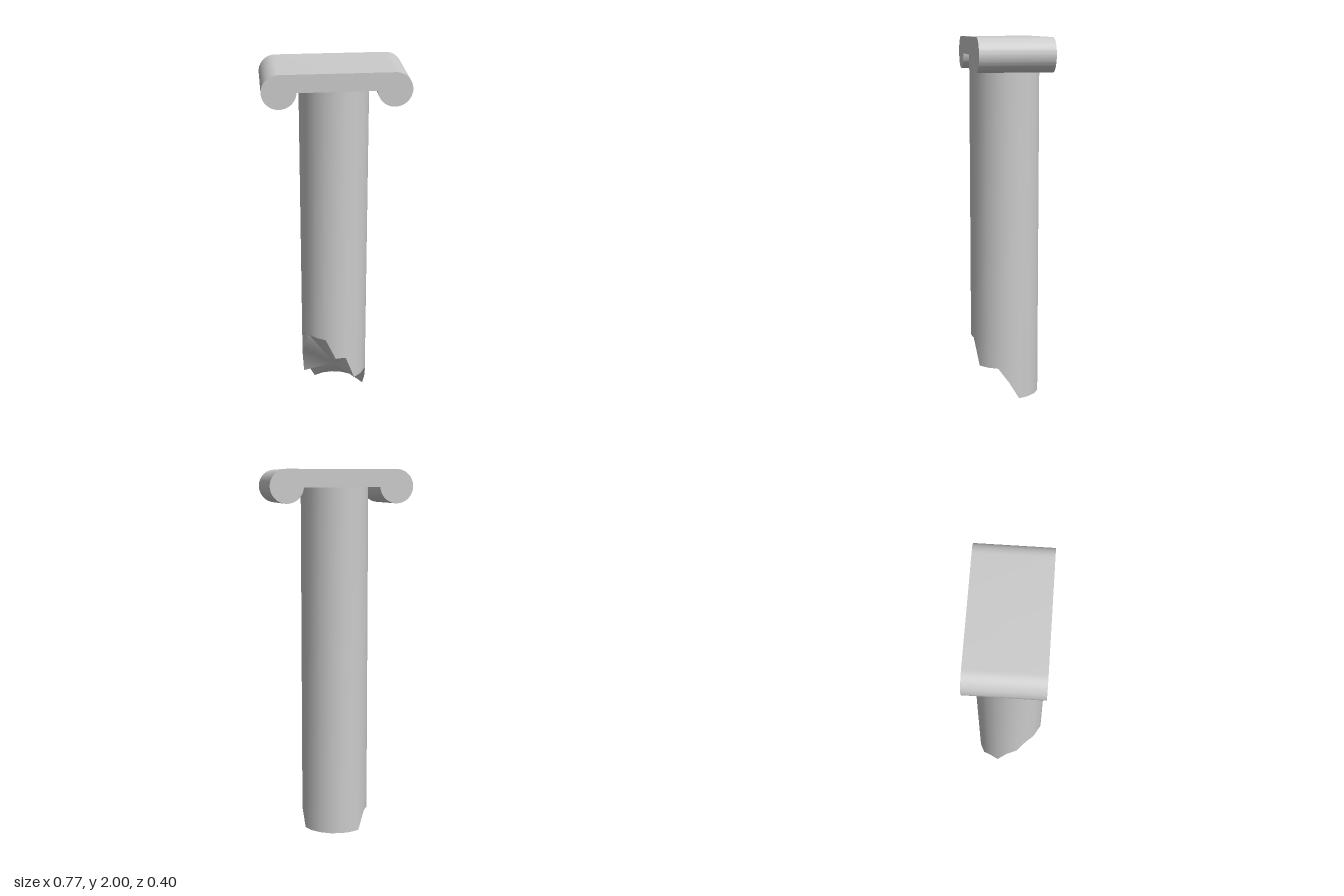
import * as THREE from 'three';
import { toCreasedNormals } from 'three/addons/utils/BufferGeometryUtils.js';

const material = new THREE.MeshStandardMaterial({ color: 0xcccccc });

// Capital: flat slab with a rolled scroll at each end
function makeCapital() {
  const r = 0.09, cx = 0.296, cy = 1.91, under = 1.905;
  const shape = new THREE.Shape();
  shape.moveTo(cx, cy + r);
  shape.lineTo(-cx, cy + r);
  shape.absarc(-cx, cy, r, Math.PI / 2, 2 * Math.PI - 0.055, false);
  shape.lineTo(cx - r, under);
  shape.absarc(cx, cy, r, Math.PI + 0.055, 2.5 * Math.PI, false);
  const geometry = new THREE.ExtrudeGeometry(shape, { depth: 0.4, bevelEnabled: false, curveSegments: 24 });
  geometry.translate(0, 0, -0.2);
  const mesh = new THREE.Mesh(toCreasedNormals(geometry, 0.6), material);
  mesh.name = 'capital';
  return mesh;
}

// Shaft: twenty-sided column whose lower rim is broken off at uneven heights
function makeShaft() {
  const rim = [0.33, 0.33, 0.18, 0.18, 0.18, 0.1, 0, 0, 0, 0,
    0, 0, 0, 0.1, 0.1, 0.27, 0.33, 0.45, 0.45, 0.45];
  const n = rim.length, top = 1.906;
  const point = (k, y) => {
    const a = THREE.MathUtils.degToRad(18 * k - 2);
    return [0.185 * Math.sin(a), y, 0.003 + 0.192 * Math.cos(a)];
  };
  const side = [], fracture = [], lid = [];
  for (let k = 0; k < n; k++) {
    const a = point(k, rim[k]), b = point(k + 1, rim[(k + 1) % n]);
    const c = point(k + 1, top), d = point(k, top);
    side.push(...a, ...b, ...c, ...a, ...c, ...d);
    fracture.push(0, 0.18, 0, ...b, ...a);
    lid.push(0, top, 0, ...d, ...c);
  }
  const build = (name, positions) => {
    const geometry = new THREE.BufferGeometry();
    geometry.setAttribute('position', new THREE.Float32BufferAttribute(positions, 3));
    const mesh = new THREE.Mesh(toCreasedNormals(geometry, 0.6), material);
    mesh.name = name;
    return mesh;
  };
  const shaft = new THREE.Group();
  shaft.name = 'shaft';
  shaft.add(build('shaftSide', side), build('brokenEnd', fracture), build('shaftTop', lid));
  return shaft;
}

export function createModel() {
  const model = new THREE.Group();
  model.name = 'brokenColumn';
  model.add(makeCapital(), makeShaft());
  return model;
}
